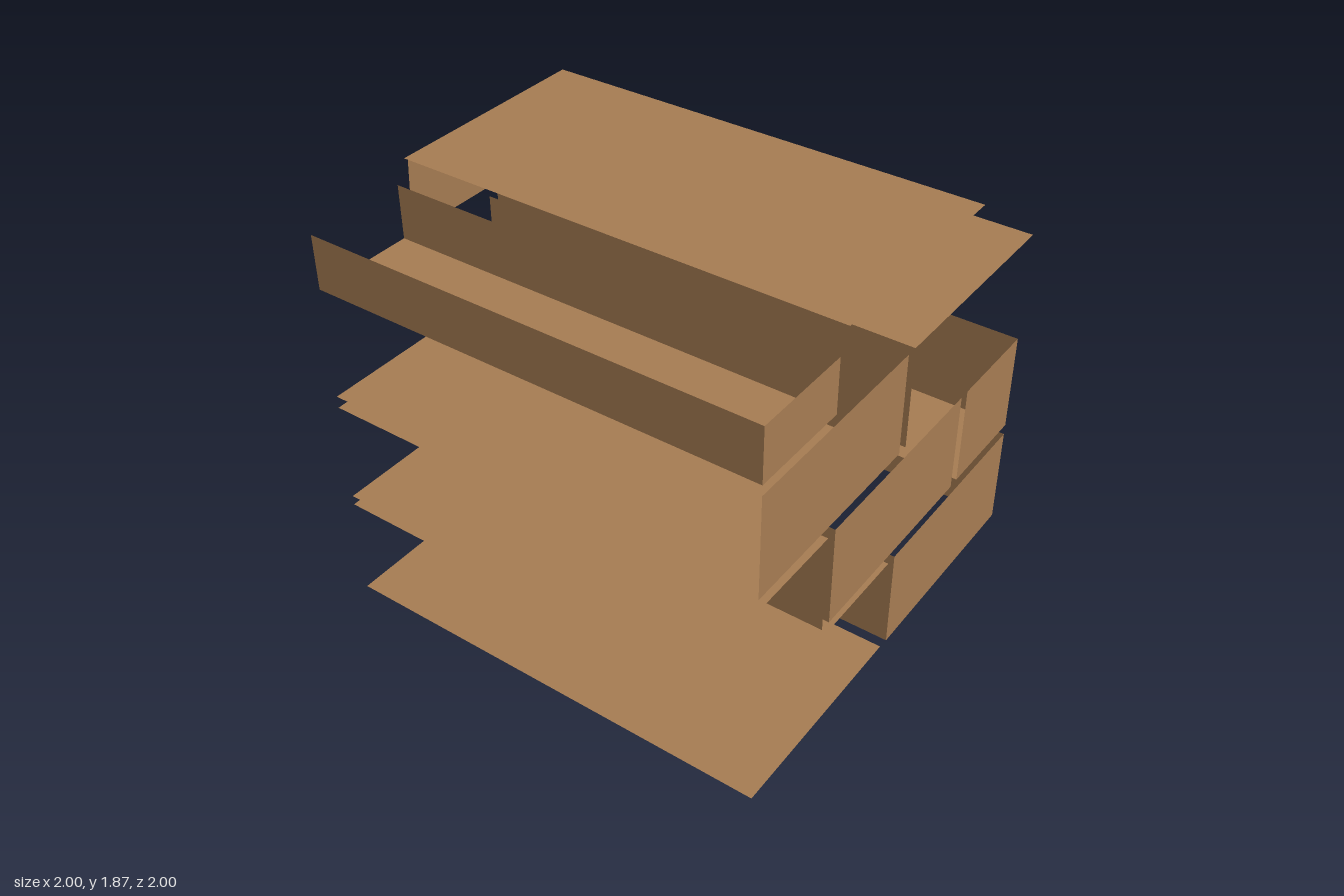
import * as THREE from 'three';

// One open block: only the listed walls exist, each a single thin sheet.
const BLOCKS = [
  // name, x0, x1, y0, y1, walls
  ['firstRowLeftBlock', -1, -0.03, 0.005, 0.47, ['top', 'bottom']],
  ['firstRowRightBlock', 0.02, 1, 0, 0.47, ['front', 'back', 'left', 'right']],
  ['secondRowLeftBlock', -1, -0.54, 0.515, 0.975, ['top', 'bottom', 'right']],
  ['secondRowMiddleBlock', -0.49, 0.49, 0.515, 0.98, ['front', 'back', 'left']],
  ['secondRowRightBlock', 0.54, 1, 0.52, 0.98, ['front', 'right', 'bottom']],
  ['thirdRowLeftBlock', -1, -0.03, 1.03, 1.49, ['front', 'right', 'bottom']],
  ['thirdRowRightBlock', 0.02, 1, 1.03, 1.49, ['top', 'back', 'left']],
  ['fourthRowLeftBlock', -1, -0.54, 1.535, 1.775, ['front', 'left', 'right', 'bottom']],
  ['fourthRowMiddleBlock', -0.49, 0.485, 1.535, 1.87, ['top', 'back']],
];

export function createModel() {
  const group = new THREE.Group();
  group.name = 'openBlockStack';
  const clay = new THREE.MeshStandardMaterial({ color: 0xa67c52, side: THREE.DoubleSide });
  clay.name = 'clayBrown';

  for (const [name, x0, x1, y0, y1, walls] of BLOCKS) {
    const block = new THREE.Group();
    block.name = name;
    const w = x1 - x0, h = y1 - y0, d = 2, q = Math.PI / 2;
    const cx = (x0 + x1) / 2, cy = (y0 + y1) / 2;
    // width, height, position, rotation about x, rotation about y
    const specs = {
      front: [w, h, [cx, cy, 1], 0, 0],
      back: [w, h, [cx, cy, -1], 0, Math.PI],
      right: [d, h, [x1, cy, 0], 0, q],
      left: [d, h, [x0, cy, 0], 0, -q],
      top: [w, d, [cx, y1, 0], -q, 0],
      bottom: [w, d, [cx, y0, 0], q, 0],
    };
    for (const wall of walls) {
      const [a, b, p, rx, ry] = specs[wall];
      const geo = new THREE.PlaneGeometry(a, b).rotateX(rx).rotateY(ry).translate(...p);
      // The tall upper back wall narrows and leans in slightly
      if (name === 'fourthRowMiddleBlock' && wall === 'back') {
        const pos = geo.attributes.position;
        for (let i = 0; i < pos.count; i++) {
          if (pos.getY(i) > cy) {
            pos.setX(i, cx + (pos.getX(i) - cx) * 0.98);
            pos.setZ(i, -0.99);
          }
        }
        geo.computeVertexNormals();
      }
      const mesh = new THREE.Mesh(geo, clay);
      mesh.name = wall + 'Wall';
      block.add(mesh);
    }
    group.add(block);
  }
  return group;
}
